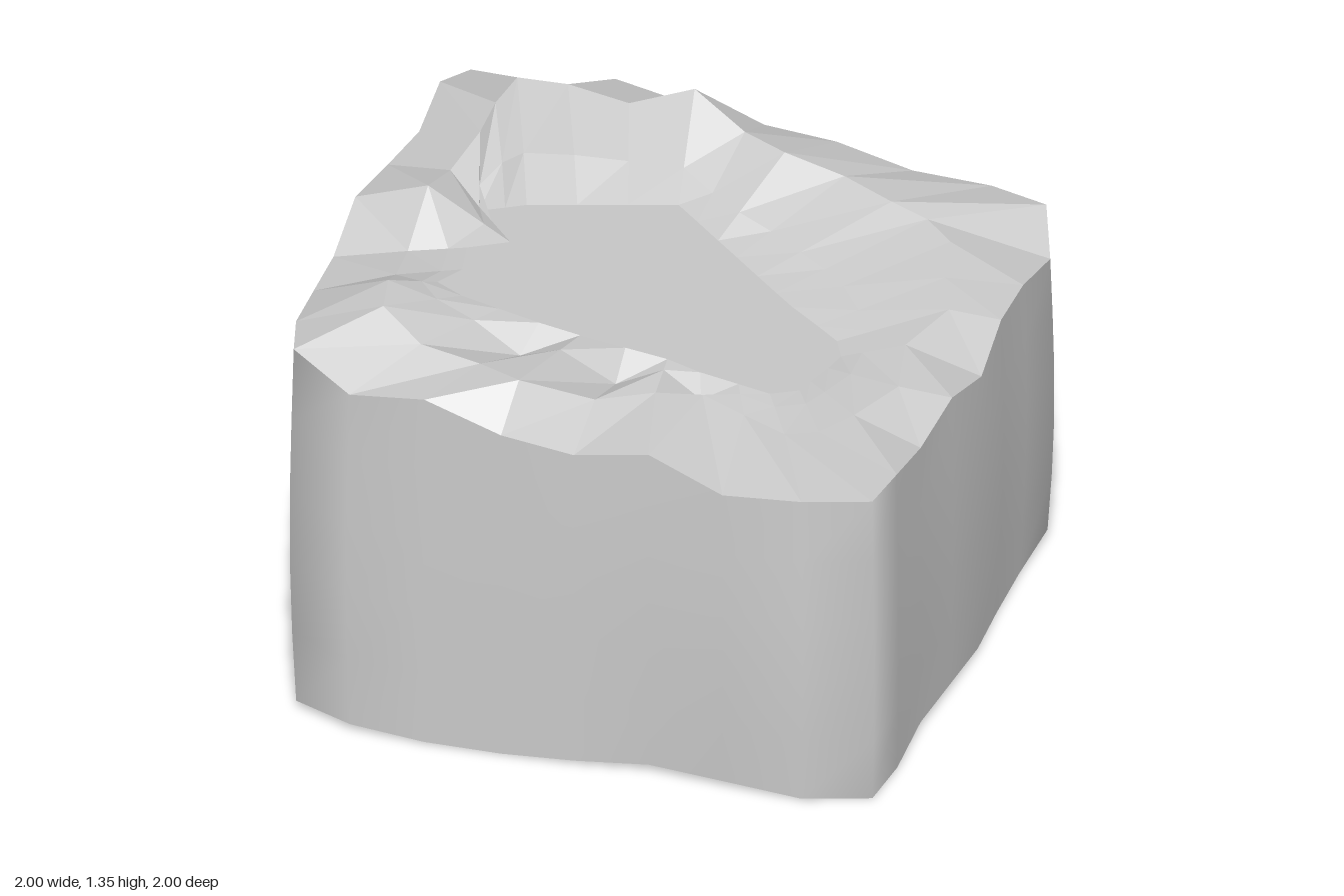
import * as THREE from 'three';

// All loops run front -> right -> back -> left, 8 points per side (7 along the side + 1 corner).
// Broken rim where the walls meet the top: [x, y, z]
const RIM = [
  [-.71, 1.19, .99], [-.47, 1.22, 1], [-.23, 1.13, .99], [0, 1.10, .99], [.23, 1.13, .97], [.47, 1.04, .99], [.72, 1.06, .99], [.92, 1.05, .91],
  [.94, 1.04, .72], [.94, .99, .47], [.97, 1.04, .24], [.99, .98, 0], [.98, 1.04, -.24], [.98, 1.03, -.47], [.99, .98, -.72], [.92, 1.05, -.91],
  [.72, 1.03, -1], [.47, 1.04, -1], [.23, 1.10, -1], [0, 1.12, -1], [-.23, 1.15, -1], [-.47, 1.20, -1], [-.71, 1.13, -.99], [-.90, 1.21, -.91],
  [-.94, 1.27, -.72], [-.93, 1.24, -.47], [-.96, 1.25, -.24], [-.99, 1.27, 0], [-.99, 1.19, .23], [-.98, 1.21, .47], [-.96, 1.25, .72], [-.91, 1.27, .91],
];
// Crest of the broken top: [x, y, z]
const CREST = [
  [-.55, 1.27, .77], [-.36, 1.24, .78], [-.21, 1.26, .87], [0, 1.17, .77], [.15, 1.14, .63], [.28, 1.12, .57], [.42, 1.09, .60], [.56, 1.07, .64],
  [.65, 1.06, .58], [.72, 1.05, .44], [.80, 1.05, .24], [.75, 1.05, 0], [.82, 1.06, -.22], [.76, 1.07, -.38], [.72, 1.08, -.57], [.62, 1.09, -.66],
  [.50, 1.12, -.68], [.33, 1.14, -.75], [.15, 1.21, -.72], [0, 1.21, -.80], [-.18, 1.29, -.87], [-.36, 1.26, -.78], [-.55, 1.30, -.77], [-.69, 1.34, -.70],
  [-.71, 1.34, -.54], [-.71, 1.33, -.38], [-.75, 1.29, -.20], [-.76, 1.35, 0], [-.77, 1.22, .18], [-.75, 1.25, .37], [-.72, 1.34, .55], [-.69, 1.34, .70],
];
// Outline of the sloping floor: [x, z]
const FLOOR = [
  [-.40, .45], [-.27, .46], [-.14, .46], [0, .45], [.13, .44], [.24, .46], [.36, .46], [.46, .46],
  [.53, .38], [.54, .30], [.56, .18], [.57, .08], [.53, -.01], [.45, -.07], [.35, -.14], [.28, -.20],
  [.20, -.27], [.11, -.35], [.03, -.42], [-.06, -.50], [-.14, -.57], [-.27, -.47], [-.40, -.37], [-.53, -.27],
  [-.58, -.21], [-.64, -.14], [-.58, -.08], [-.50, 0], [-.60, .12], [-.57, .27], [-.61, .40], [-.52, .44],
];
const N = RIM.length;

const floorHeight = (x, z) => 1.11 - .17 * x + .13 * z;
const bottomHeight = (x, z) => .025 + .012 * (Math.sin(5.5 * x) + Math.sin(5.5 * z));

// Skin between closed rings, smooth or faceted, with an optional centre point closing the last ring
function skin(rings, flat, centre) {
  const index = [];
  const pos = rings.flat(2);
  for (let r = 0; r < rings.length - 1; r++) {
    for (let i = 0; i < N; i++) {
      const a = r * N + i, b = r * N + (i + 1) % N;
      index.push(a, b, b + N, a, b + N, a + N);
    }
  }
  if (centre) {
    const base = (rings.length - 1) * N;
    pos.push(...centre);
    for (let i = 0; i < N; i++) index.push(base + i, base + (i + 1) % N, rings.length * N);
  }
  let g = new THREE.BufferGeometry();
  g.setAttribute('position', new THREE.Float32BufferAttribute(pos, 3));
  g.setIndex(index);
  if (flat) g = g.toNonIndexed();
  g.computeVertexNormals();
  return g;
}

export function createModel() {
  const group = new THREE.Group();
  const add = (name, geometry, flat) => {
    const mesh = new THREE.Mesh(geometry, new THREE.MeshStandardMaterial({ color: 0xcccccc, flatShading: flat }));
    mesh.name = name;
    group.add(mesh);
  };

  // Walls: rows from the base up to the rim, gently bulging; the back of the -x wall leans in at the top
  const rows = [0, .2, .4, .6, .8, 1].map((t) => RIM.map(([x, y, z]) => {
    const w = (1 - t) * (.008 * Math.sin(3 * t + 4 * x - 3 * z) - .006);
    const s = 1 + w + .01 * Math.sin(Math.PI * t);
    const lean = x < -.85 && z < -.3 ? .04 * Math.min(1, 2 * (1 - t)) : 0;
    const y0 = bottomHeight(x, z);
    const clamp = (v) => THREE.MathUtils.clamp(v, -1, 1);
    return [clamp(x * s - lean), y0 + (y - y0) * t, clamp(z * s)];
  }));
  add('stoneWalls', skin(rows, false), false);

  // Base: nearly flat underside
  add('stoneBase', skin([[...rows[0]].reverse()], true, [0, .025, 0]), true);

  // Broken top: rim, crest, then a ledge around the sloping floor,
  // chipped into notches along the front and raised to a small scarp at the back of the -x side
  const floor = FLOOR.map(([x, z]) => [x, floorHeight(x, z), z]);
  const ledge = floor.map((f, i) => {
    const p = f.map((v, k) => THREE.MathUtils.lerp(v, CREST[i][k], .32));
    if (i < 6 && i % 2) p[1] -= .07;
    if (i > 20 && i < 25) p[1] += .04;
    return p;
  });
  add('brokenTop', skin([rows[5], CREST, ledge, floor], true), true);
  add('slopingFloor', skin([floor], true, [0, floorHeight(0, 0), 0]), true);

  return group;
}
